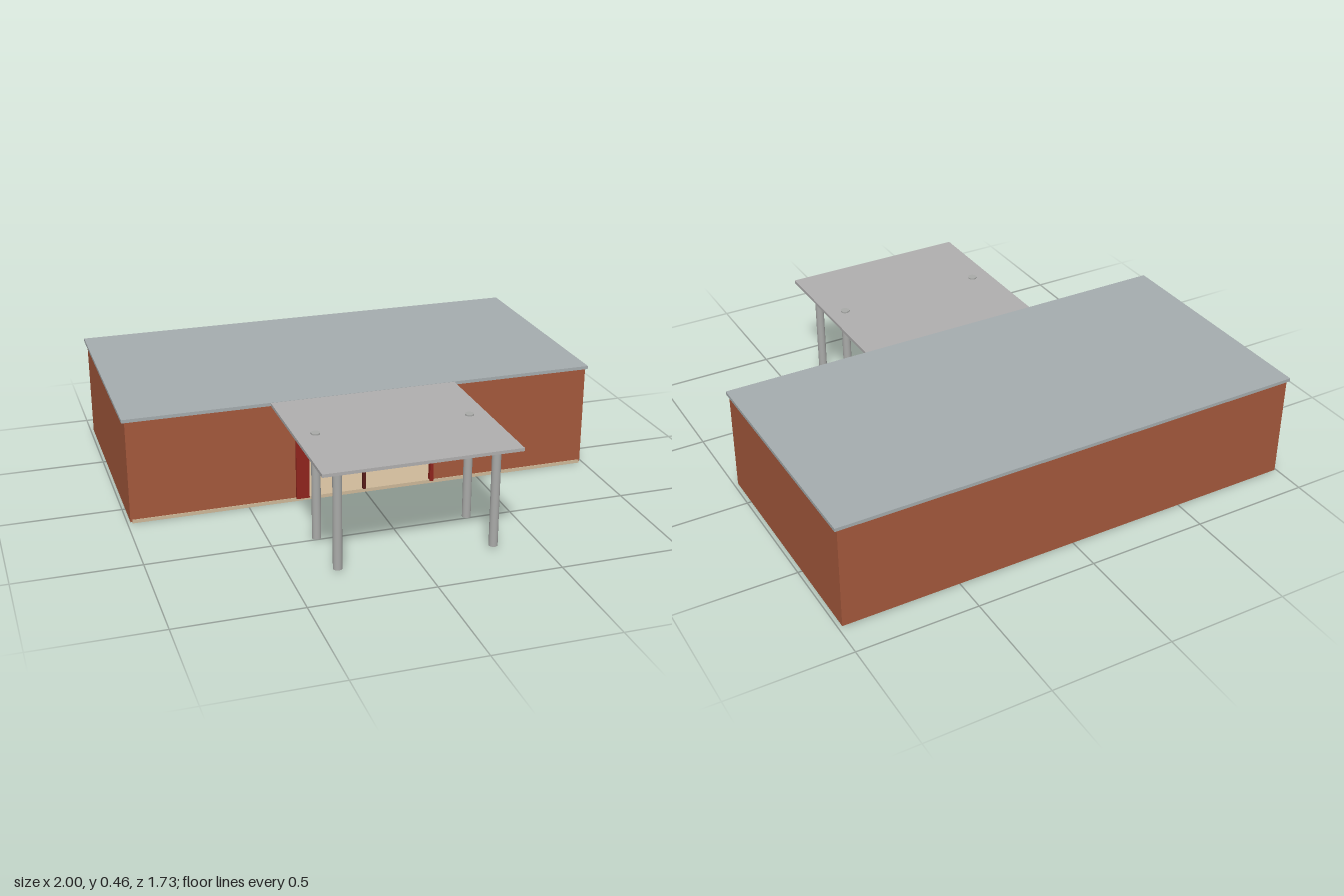
import * as THREE from 'three';

const mat = (color) => new THREE.MeshStandardMaterial({ color });

export function createModel() {
  const model = new THREE.Group();
  const brick = mat(0xa4583c), red = mat(0x8f241c), darkRed = mat(0x571a18);
  const roofGrey = mat(0xa5acae), canopyGrey = mat(0xafaeae), steel = mat(0xa9aaa8);
  const beige = mat(0xcdb899), paleBlue = mat(0xcbd3d9);

  // Box given by its min and max on each axis
  const box = (name, material, x0, x1, y0, y1, z0, z1, parent = model) => {
    const mesh = new THREE.Mesh(new THREE.BoxGeometry(x1 - x0, y1 - y0, z1 - z0), material);
    mesh.position.set((x0 + x1) / 2, (y0 + y1) / 2, (z0 + z1) / 2);
    mesh.name = name;
    parent.add(mesh);
    return mesh;
  };

  // Floor slab, brick shell and flat roof
  box('floorSlab', beige, -0.98, 0.98, 0, 0.015, -0.855, 0.14);
  const walls = new THREE.Group();
  walls.name = 'brickWalls';
  model.add(walls);
  box('backWall', brick, -0.988, 0.985, 0.005, 0.436, -0.86, -0.845, walls);
  box('rightWall', brick, -0.988, -0.973, 0.005, 0.436, -0.845, 0.137, walls);
  box('leftWall', brick, 0.97, 0.985, 0.005, 0.436, -0.845, 0.137, walls);
  box('frontWallRight', brick, -0.973, -0.3, 0.015, 0.436, 0.122, 0.137, walls);
  box('frontWallLeft', brick, 0.3, 0.97, 0.015, 0.436, 0.122, 0.137, walls);
  box('interiorBackWall', paleBlue, -0.973, 0.97, 0.015, 0.436, -0.845, -0.84);
  box('mainRoof', roofGrey, -1, 0.995, 0.436, 0.45, -0.865, 0.142);

  // Entrance: side panel, posts, transom rail and mullions
  const entrance = new THREE.Group();
  entrance.name = 'entrance';
  model.add(entrance);
  box('sidePanel', red, -0.3, -0.245, 0.012, 0.43, 0.125, 0.148, entrance);
  box('endPost', red, 0.285, 0.3, 0.012, 0.43, 0.125, 0.148, entrance);
  box('transomRail', red, -0.245, 0.285, 0.275, 0.294, 0.125, 0.145, entrance);
  box('doorHead', red, -0.245, 0.285, 0.408, 0.436, 0.125, 0.145, entrance);
  box('doorMullion', darkRed, -0.011, 0.002, 0.015, 0.275, 0.127, 0.143, entrance);
  for (let i = 0; i < 11; i++) {
    const x = -0.207 + i * 0.0452;
    box('transomMullion', darkRed, x - 0.006, x + 0.006, 0.294, 0.408, 0.125, 0.143, entrance);
  }

  // Entrance canopy with its beams
  const canopy = new THREE.Group();
  canopy.name = 'canopy';
  model.add(canopy);
  box('canopyRoof', canopyGrey, -0.4, 0.385, 0.436, 0.449, 0.142, 0.863, canopy);
  for (const x of [-0.318, 0.312]) {
    box('longBeam', darkRed, x - 0.025, x + 0.025, 0.425, 0.436, 0.142, 0.835, canopy);
  }
  box('frontBeam', darkRed, -0.35, 0.345, 0.41, 0.43, 0.745, 0.805, canopy);
  box('rearBeam', darkRed, -0.35, 0.345, 0.412, 0.43, 0.142, 0.183, canopy);

  // Round columns: the front pair carries the beam, the rear pair passes through the roof
  const column = (x, z, y0, y1) => {
    const mesh = new THREE.Mesh(new THREE.CylinderGeometry(0.018, 0.018, y1 - y0, 24), steel);
    mesh.position.set(x, (y0 + y1) / 2, z);
    mesh.name = 'column';
    canopy.add(mesh);
  };
  for (const x of [-0.318, 0.31]) {
    column(x, 0.777, 0.015, 0.412);
    column(x, 0.498, 0.008, 0.455);
  }
  return model;
}
